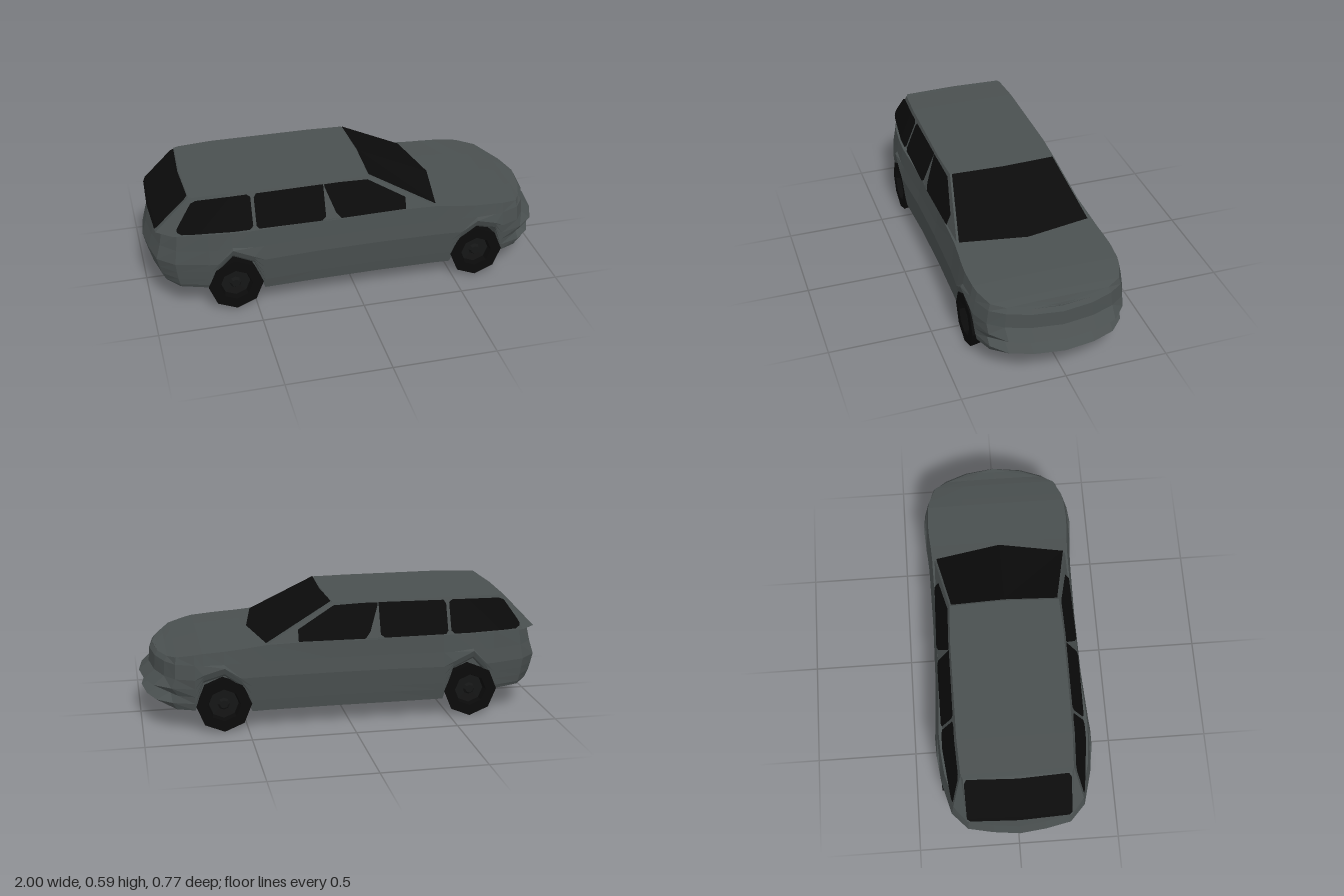
import * as THREE from 'three';

const mat = (name, color) => Object.assign(new THREE.MeshStandardMaterial({ color, flatShading: true }), { name });

// Interpolate a list of [x, value] pairs
function interp(pairs, x) {
  if (x <= pairs[0][0]) return pairs[0][1];
  for (let i = 1; i < pairs.length; i++) {
    const [x0, v0] = pairs[i - 1], [x1, v1] = pairs[i];
    if (x <= x1) return v0 + (v1 - v0) * (x - x0) / (x1 - x0);
  }
  return pairs[pairs.length - 1][1];
}

// Skin rows of [x, y, z] points running rear to front on the +z half, then mirror to -z
function mirroredSkin(name, rows, material) {
  const pos = [];
  const tri = (a, b, c) => {
    pos.push(...a, ...b, ...c);
    for (const p of [a, c, b]) pos.push(p[0], p[1], -p[2]);
  };
  for (let j = 0; j < rows.length - 1; j++) {
    for (let i = 0; i < rows[j].length - 1; i++) {
      const a = rows[j][i], b = rows[j][i + 1], c = rows[j + 1][i + 1], d = rows[j + 1][i];
      tri(a, b, c);
      tri(a, c, d);
    }
  }
  const geo = new THREE.BufferGeometry();
  geo.setAttribute('position', new THREE.Float32BufferAttribute(pos, 3));
  geo.computeVertexNormals();
  const mesh = new THREE.Mesh(geo, material);
  mesh.name = name;
  return mesh;
}

// Plan columns: x, half width, bottom edge height (rising over the wheels), belt height
const columns = [
  [-1, 0, 0.135, 0.41], [-0.985, 0.13, 0.135, 0.41], [-0.96, 0.25, 0.135, 0.41],
  [-0.88, 0.325, 0.13, 0.415], [-0.72, 0.367, 0.125, 0.42], [-0.68, 0.372, 0.22, 0.42],
  [-0.61, 0.38, 0.295, 0.42], [-0.51, 0.385, 0.25, 0.42], [-0.46, 0.383, 0.095, 0.42],
  [-0.2, 0.368, 0.09, 0.42], [0.1, 0.364, 0.09, 0.42], [0.4, 0.368, 0.09, 0.415],
  [0.48, 0.373, 0.09, 0.407], [0.53, 0.378, 0.22, 0.403], [0.61, 0.382, 0.28, 0.397],
  [0.71, 0.376, 0.25, 0.39], [0.75, 0.367, 0.11, 0.383], [0.86, 0.33, 0.11, 0.367],
  [0.94, 0.26, 0.12, 0.357], [0.98, 0.15, 0.125, 0.355], [1, 0, 0.125, 0.357],
];

// Height levels: y, side inset, rear pull-in, nose pull-in
const levels = [
  [0, 0.05, 0.04, 0.06], [0.145, 0.03, 0.035, 0.01], [0.18, 0.02, 0.02, 0.08],
  [0.22, 0.01, 0.01, 0], [0.265, 0, 0, 0.05], [0.335, 0.03, 0.02, 0.055], [1, 0.06, 0.035, 0.07],
];

function bodyRows() {
  const last = columns.length - 1;
  const rows = levels.map(([ly, inset, rear, nose], j) => columns.map(([x, z, bottom, belt], i) => {
    const wRear = i < 3 ? 1 : i === 3 ? 0.5 : 0;
    const wNose = i > last - 3 ? 1 : i === last - 3 ? 0.4 : 0;
    const y = j === 0 ? bottom : Math.min(belt, Math.max(ly, bottom + 0.01 * j));
    return [x + rear * wRear - nose * wNose, y, z * (1 - inset)];
  }));
  const edge = rows[0];
  const belt = rows[rows.length - 1];
  const innerZ = (z) => Math.min(z * 0.8, 0.25);
  const floorY = (p, i) => (i > 4 && i < 16 ? 0.088 : p[1]);
  return [
    edge.map((p, i) => [p[0], floorY(p, i), 0]),            // floor centre
    edge.map((p, i) => [p[0], floorY(p, i), innerZ(p[2])]), // floor edge
    edge.map((p) => [p[0], p[1], innerZ(p[2])]),            // wheel well wall
    ...rows,                                                // sides, nose and tail
    belt.map((p) => [p[0], p[1] + 0.004, p[2] * 0.5]),      // bonnet and deck
    belt.map((p) => [p[0], p[1] + 0.005, 0]),
  ];
}

// Cabin outlines as [x, half width], rear to front
const BELT_Y = 0.413, ROOF_Y = 0.588;
const beltLine = [[-0.965, 0], [-0.955, 0.25], [-0.88, 0.312], [-0.6, 0.345], [-0.1, 0.347], [0.4, 0.335], [0.46, 0]];
const roofLine = [[-0.8, 0], [-0.79, 0.255], [-0.77, 0.265], [-0.6, 0.274], [-0.1, 0.276], [0.075, 0.268], [0.085, 0]];

function cabinZ(x, y) {
  const t = (y - BELT_Y) / (ROOF_Y - BELT_Y);
  return interp(beltLine.slice(2, 6), x) * (1 - t) + interp(roofLine.slice(2, 6), x) * t;
}

// Side windows as strips of [x, lower y, upper y]
const sideWindows = {
  rearSideWindow: [[-0.86, 0.435, 0.45], [-0.84, 0.422, 0.482], [-0.785, 0.42, 0.562], [-0.76, 0.42, 0.572],
    [-0.6, 0.42, 0.576], [-0.52, 0.42, 0.577], [-0.503, 0.435, 0.565]],
  middleSideWindow: [[-0.487, 0.435, 0.56], [-0.475, 0.42, 0.577], [-0.17, 0.42, 0.581], [-0.15, 0.435, 0.581]],
  frontSideWindow: [[-0.145, 0.57, 0.58], [-0.1, 0.45, 0.581], [-0.075, 0.42, 0.581], [0.07, 0.42, 0.575],
    [0.25, 0.42, 0.475]],
};

// Faceted wheel with a recessed rim, outer side towards +z
function makeWheel(tyre, rim) {
  const wheel = new THREE.Group();
  const lathe = (name, points, material) => {
    const geo = new THREE.LatheGeometry(points.map(([r, h]) => new THREE.Vector2(r, h)), 8);
    geo.rotateX(Math.PI / 2);
    const mesh = new THREE.Mesh(geo, material);
    mesh.name = name;
    wheel.add(mesh);
  };
  lathe('tyre', [[0, -0.05], [0.1, -0.05], [0.122, -0.02], [0.133, 0.05], [0.08, 0.05], [0.072, 0.02]], tyre);
  lathe('rim', [[0.074, 0.02], [0.03, 0.022], [0.02, 0.035], [0, 0.035]], rim);
  return wheel;
}

export function createModel() {
  const paint = mat('bodyPaint', 0x4a5050);
  const glass = mat('darkGlass', 0x0b0b0b);
  const rubber = mat('tyreBlack', 0x0a0a0a);
  const rimGrey = mat('rimDark', 0x151616);
  const car = new THREE.Group();
  car.name = 'estateCar';

  car.add(mirroredSkin('lowerBody', bodyRows(), paint));

  // Cabin sides, pillars and roof
  car.add(mirroredSkin('cabin', [
    beltLine.map(([x, z]) => [x, BELT_Y, z]),
    roofLine.map(([x, z]) => [x, ROOF_Y - (x < -0.7 ? 0.005 : 0), z]),
    roofLine.map(([x]) => [x, ROOF_Y + (x < -0.7 ? -0.003 : 0.002), 0]),
  ], paint));

  // Side glass
  for (const [name, strip] of Object.entries(sideWindows)) {
    const row = (k) => strip.map((s) => [s[0], s[k], cabinZ(s[0], s[k]) + 0.006]);
    car.add(mirroredSkin(name, [row(1), row(2)], glass));
  }

  // Windscreen and rear glass
  car.add(mirroredSkin('windscreen', [
    [[0.405, 0.418, 0.325], [0.462, 0.418, 0]],
    [[0.08, 0.592, 0.26], [0.09, 0.592, 0]],
  ], glass));
  car.add(mirroredSkin('rearGlass', [
    [[-0.968, 0.425, 0], [-0.958, 0.425, 0.235]],
    [[-0.957, 0.44, 0], [-0.948, 0.44, 0.25]],
    [[-0.82, 0.572, 0], [-0.811, 0.572, 0.252]],
    [[-0.806, 0.587, 0], [-0.795, 0.586, 0.24]],
  ], glass));

  // Wheels
  for (const [end, x] of [['rear', -0.6], ['front', 0.615]]) {
    for (const side of [1, -1]) {
      const wheel = makeWheel(rubber, rimGrey);
      wheel.name = end + (side > 0 ? 'WheelNear' : 'WheelFar');
      wheel.position.set(x, 0.133, side * 0.318);
      if (side < 0) wheel.rotation.y = Math.PI;
      car.add(wheel);
    }
  }
  return car;
}
